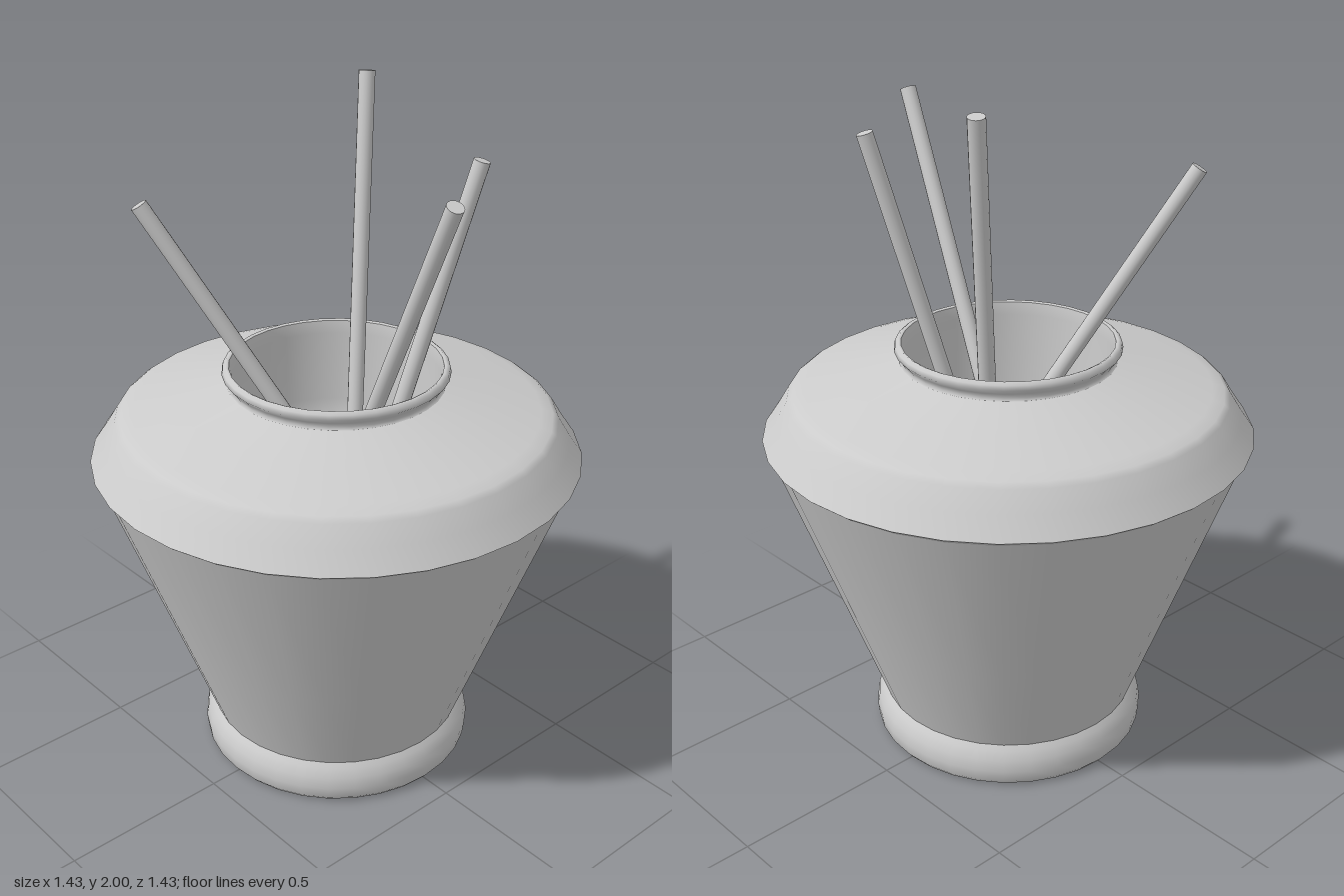
import * as THREE from 'three';

const material = new THREE.MeshStandardMaterial({ color: 0xcccccc, side: THREE.DoubleSide });

// Smooth turned section from [radius, height] pairs
function turned(name, profile) {
  const points = profile.map(([r, y]) => new THREE.Vector2(r, y));
  const mesh = new THREE.Mesh(new THREE.LatheGeometry(points, 32), material);
  mesh.name = name;
  return mesh;
}

// Thin round rod between two points
function rod(name, from, to) {
  const a = new THREE.Vector3(...from), b = new THREE.Vector3(...to);
  const dir = b.clone().sub(a);
  const mesh = new THREE.Mesh(new THREE.CylinderGeometry(0.024, 0.024, dir.length(), 16), material);
  mesh.name = name;
  mesh.position.copy(a).add(b).multiplyScalar(0.5);
  mesh.quaternion.setFromUnitVectors(new THREE.Vector3(0, 1, 0), dir.normalize());
  return mesh;
}

export function createModel() {
  const group = new THREE.Group();
  group.name = 'potWithSticks';

  // Foot: flat underside and rounded ring
  group.add(turned('underside', [[0, 0], [0.4, 0]]));
  group.add(turned('footRing', [
    [0.4, 0], [0.412, 0.015], [0.416, 0.05], [0.41, 0.085], [0.396, 0.11], [0.385, 0.125],
  ]));

  // Flaring body with a sharp lip under the shoulder
  group.add(turned('body', [[0.385, 0.125], [0.5, 0.437], [0.698, 0.975]]));
  group.add(turned('lip', [[0.698, 0.975], [0.716, 0.99]]));
  group.add(turned('shoulder', [
    [0.716, 0.99], [0.675, 1.05], [0.641, 1.105], [0.625, 1.118], [0.59, 1.13], [0.45, 1.167], [0.315, 1.203],
  ]));

  // Neck, rolled rim and the recessed well
  group.add(turned('rim', [
    [0.315, 1.203], [0.308, 1.21], [0.316, 1.225], [0.329, 1.24], [0.326, 1.254], [0.316, 1.262], [0.308, 1.258],
  ]));
  group.add(turned('well', [
    [0.308, 1.258], [0.302, 1.22], [0.3, 1.0], [0.285, 0.91], [0.24, 0.875], [0.12, 0.86], [0, 0.86],
  ]));

  // Sticks leaning outward from the well floor
  const sticks = [
    [[-0.09, 0.86, -0.15], [-0.238, 1.997, -0.328]],
    [[0.093, 0.86, -0.06], [0.265, 1.857, -0.285]],
    [[0.035, 0.86, 0.01], [0.53, 1.88, 0.087]],
    [[0.065, 0.86, 0.03], [-0.318, 1.745, 0.427]],
  ];
  sticks.forEach(([from, to], i) => group.add(rod(`stick${i + 1}`, from, to)));

  return group;
}
